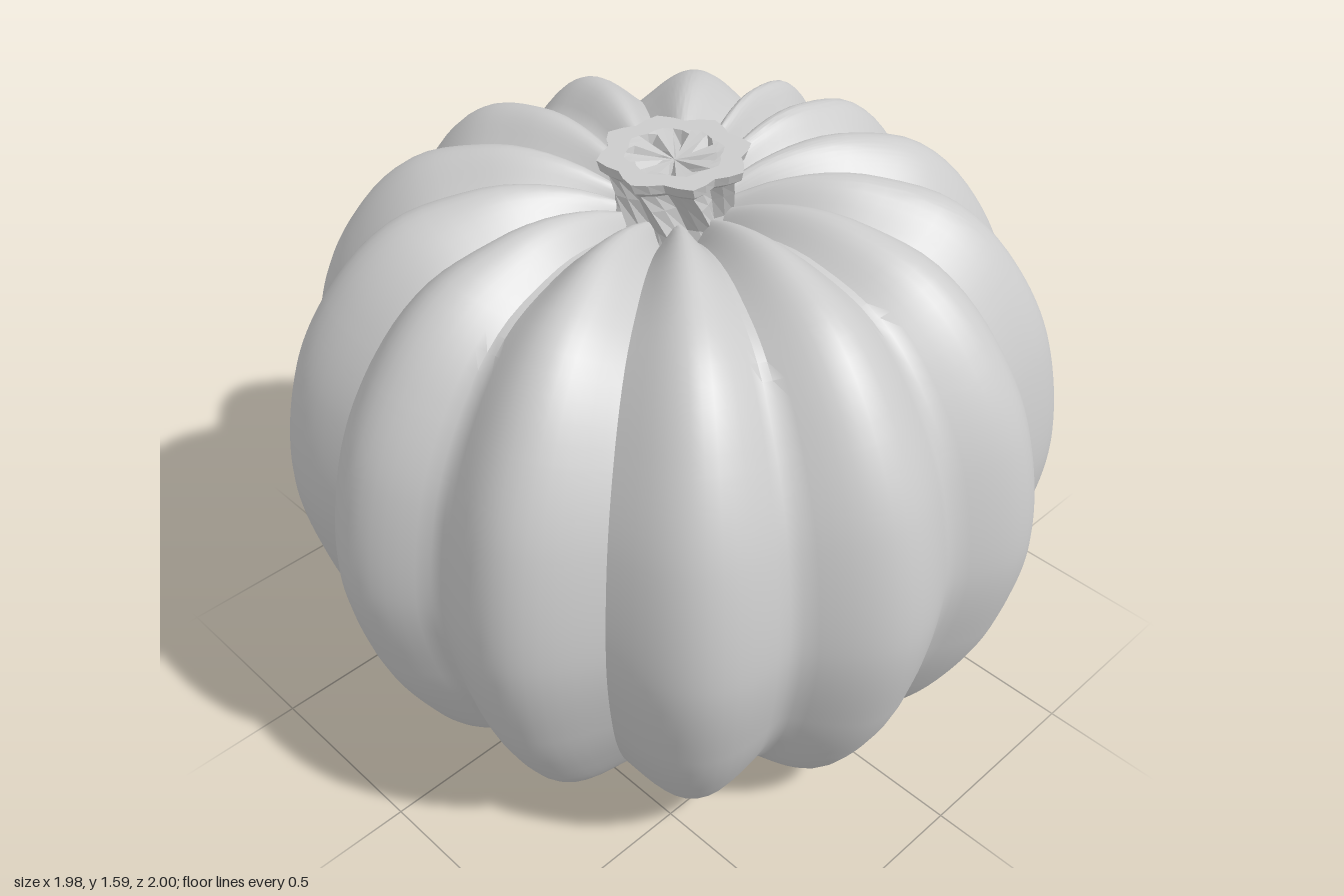
import * as THREE from 'three';
import { toCreasedNormals } from 'three/addons/utils/BufferGeometryUtils.js';

const V2 = (x, y) => new THREE.Vector2(x, y);

// Skin closed rings (listed bottom to top, turning from +x towards +z).
function loft(rings) {
  const n = rings[0].length, pos = [], idx = [];
  rings.forEach(ring => ring.forEach(p => pos.push(p.x, p.y, p.z)));
  for (let i = 0; i < rings.length - 1; i++) {
    for (let j = 0; j < n; j++) {
      const a = i * n + j, b = i * n + (j + 1) % n;
      idx.push(a, a + n, b + n, a, b + n, b);
    }
  }
  const g = new THREE.BufferGeometry();
  g.setAttribute('position', new THREE.Float32BufferAttribute(pos, 3));
  g.setIndex(idx);
  g.computeVertexNormals();
  return g;
}

// Angles (degrees from +x towards +z) of the grooves between the ribs.
const GROOVES = [-1, 27, 54, 81, 108, 135.5, 163, 190.5, 216, 244, 258, 279, 305.5, 332, 359];

function grooveAmount(deg) {
  const a = deg < -1 ? deg + 360 : deg >= 359 ? deg - 360 : deg;
  let k = 0;
  while (a >= GROOVES[k + 1]) k++;
  const t = 2 * (a - GROOVES[k]) / (GROOVES[k + 1] - GROOVES[k]) - 1;
  return 0.6 * t * t + 0.2 * (1 - Math.cos(Math.PI * t));
}

// Carved strokes on the back: [degrees from -z towards +x, height, half width].
const STROKES = [
  [[45, 1.05, 0.025], [45, 0.98, 0.02]],
  [[45, 1.02, 0.022], [33, 0.99, 0.018], [21, 0.97, 0.028], [16, 0.9, 0.04], [8, 0.86, 0.045]],
  [[45, 0.7, 0.03], [36, 0.735, 0.025], [28, 0.78, 0.018], [17, 0.83, 0.035], [10, 0.8, 0.035]],
  [[43, 0.64, 0.016], [45, 0.56, 0.01], [44, 0.47, 0.016]],
  [[22, 1.06, 0.022], [19, 0.99, 0.028]],
  [[11, 1.06, 0.03], [6, 1.01, 0.03]],
  [[8, 0.86, 0.045], [0, 0.87, 0.04], [-10, 0.93, 0.05], [-19, 1.0, 0.03]],
  [[-8, 1.12, 0.008], [-10, 0.98, 0.035]],
  [[-19, 1.02, 0.025], [-28, 1.05, 0.032], [-36, 1.08, 0.028], [-42, 1.01, 0.016], [-47, 0.93, 0.018]],
  [[-2, 0.82, 0.04], [-15, 0.77, 0.04], [-26, 0.71, 0.03], [-36, 0.73, 0.01]],
  [[-14, 0.75, 0.03], [-22, 0.62, 0.03], [-31, 0.54, 0.055], [-38, 0.5, 0.045], [-45, 0.42, 0.01]],
  [[-30, 0.6, 0.02], [-40, 0.61, 0.016], [-46, 0.54, 0.012]],
  [[0, 0.7, 0.012], [-10, 0.64, 0.016], [-18, 0.53, 0.016], [-27, 0.48, 0.02]],
];
const DISCS = [[1, 0.97, 0.05], [-19, 1.03, 0.05], [3, 0.74, 0.045], [20, 0.75, 0.045]];
const ISLANDS = [[-9, 0.92, 0.026], [4, 0.98, 0.02], [-16, 1.04, 0.02], [5, 0.75, 0.017], [-31, 0.55, 0.02]];

// Signed distance to a tapered stroke segment; negative inside.
function segmentDistance(x, y, [d0, y0, w0], [d1, y1, w1]) {
  const x0 = THREE.MathUtils.degToRad(d0), dx = THREE.MathUtils.degToRad(d1) - x0, dy = y1 - y0;
  const len = dx * dx + dy * dy || 1;
  const t = THREE.MathUtils.clamp(((x - x0) * dx + (y - y0) * dy) / len, 0, 1);
  return Math.hypot(x - x0 - dx * t, y - y0 - dy * t) - (w0 + (w1 - w0) * t);
}

function carveAmount(deg, y) {
  const x = THREE.MathUtils.degToRad(deg - 270);
  if (Math.abs(x) > 0.9 || y < 0.36 || y > 1.18) return 0;
  let d = 1;
  for (const s of STROKES) {
    for (let i = 0; i < s.length - 1; i++) d = Math.min(d, segmentDistance(x, y, s[i], s[i + 1]));
  }
  for (const c of DISCS) d = Math.min(d, segmentDistance(x, y, c, c));
  for (const c of ISLANDS) d = Math.max(d, -segmentDistance(x, y, c, c));
  return 1 - THREE.MathUtils.smoothstep(d, -0.005, 0.005);
}

function makeBody() {
  const profile = new THREE.SplineCurve([
    V2(0.004, 0.12), V2(0.12, 0.06), V2(0.35, 0.01), V2(0.58, 0.02), V2(0.74, 0.11), V2(0.86, 0.28),
    V2(0.95, 0.49), V2(1, 0.77), V2(0.95, 1.08), V2(0.83, 1.31), V2(0.68, 1.455), V2(0.5, 1.515),
    V2(0.37, 1.525), V2(0.24, 1.5), V2(0.12, 1.45), V2(0.004, 1.41),
  ]);
  // Finer steps where the carving lies.
  const us = [], degs = [];
  for (let u = 0; u < 0.9999; u += u > 0.32 && u < 0.68 ? 0.0036 : 0.016) us.push(u);
  us.push(1);
  for (let a = -38; a < 218; a += 2) degs.push(a);
  for (let a = 218; a < 322; a += 0.5) degs.push(a);

  const rings = us.map(u => {
    const p = profile.getPointAt(u);
    const fade = Math.min(1, p.x / 0.16);
    return degs.map(deg => {
      const a = THREE.MathUtils.degToRad(deg);
      const s = 1 - 0.09 * fade * grooveAmount(deg);
      const y = 0.77 + (p.y - 0.77) * s;
      const r = p.x * s - 0.06 * carveAmount(deg, y);
      return new THREE.Vector3(r * Math.cos(a), y, r * Math.sin(a));
    });
  });
  return toCreasedNormals(loft(rings), 0.6);
}

function makeStem() {
  const lobes = 8, n = lobes * 4;
  // Height, radius, lobe depth, twist, and sink of the star cuts.
  const rows = [
    [1.38, 0.16, 0.02, 0, 0], [1.45, 0.125, 0.018, 0.1, 0], [1.52, 0.135, 0.016, 0.35, 0],
    [1.56, 0.145, 0.014, 0.5, 0], [1.575, 0.165, 0.014, 0.52, 0], [1.6, 0.172, 0.014, 0.55, 0],
    [1.6, 0.115, 0.006, 0.55, 0], [1.597, 0.1, 0, 0.55, 0.035], [1.585, 0.03, 0, 0.55, 0.02],
    [1.58, 0.001, 0, 0.55, 0],
  ];
  const rings = rows.map(([y, r, depth, twist, sink]) => Array.from({ length: n }, (_, j) => {
    const a = j / n * Math.PI * 2 + twist;
    const rr = r + depth * Math.cos(j * Math.PI / 2) * (r > 0.01 ? 1 : 0);
    return new THREE.Vector3(rr * Math.cos(a), y - (j % 4 === 2 ? sink : 0), rr * Math.sin(a));
  }));
  return loft(rings);
}

export function createModel() {
  const group = new THREE.Group();
  group.name = 'carvedPumpkin';

  const body = new THREE.Mesh(makeBody(), new THREE.MeshStandardMaterial({ color: 0xcccccc }));
  body.name = 'ribbedBody';

  const stem = new THREE.Mesh(makeStem(), new THREE.MeshStandardMaterial({ color: 0xcccccc, flatShading: true }));
  stem.name = 'stem';
  stem.position.set(0.04, 0, 0.035);

  group.add(body, stem);
  return group;
}
